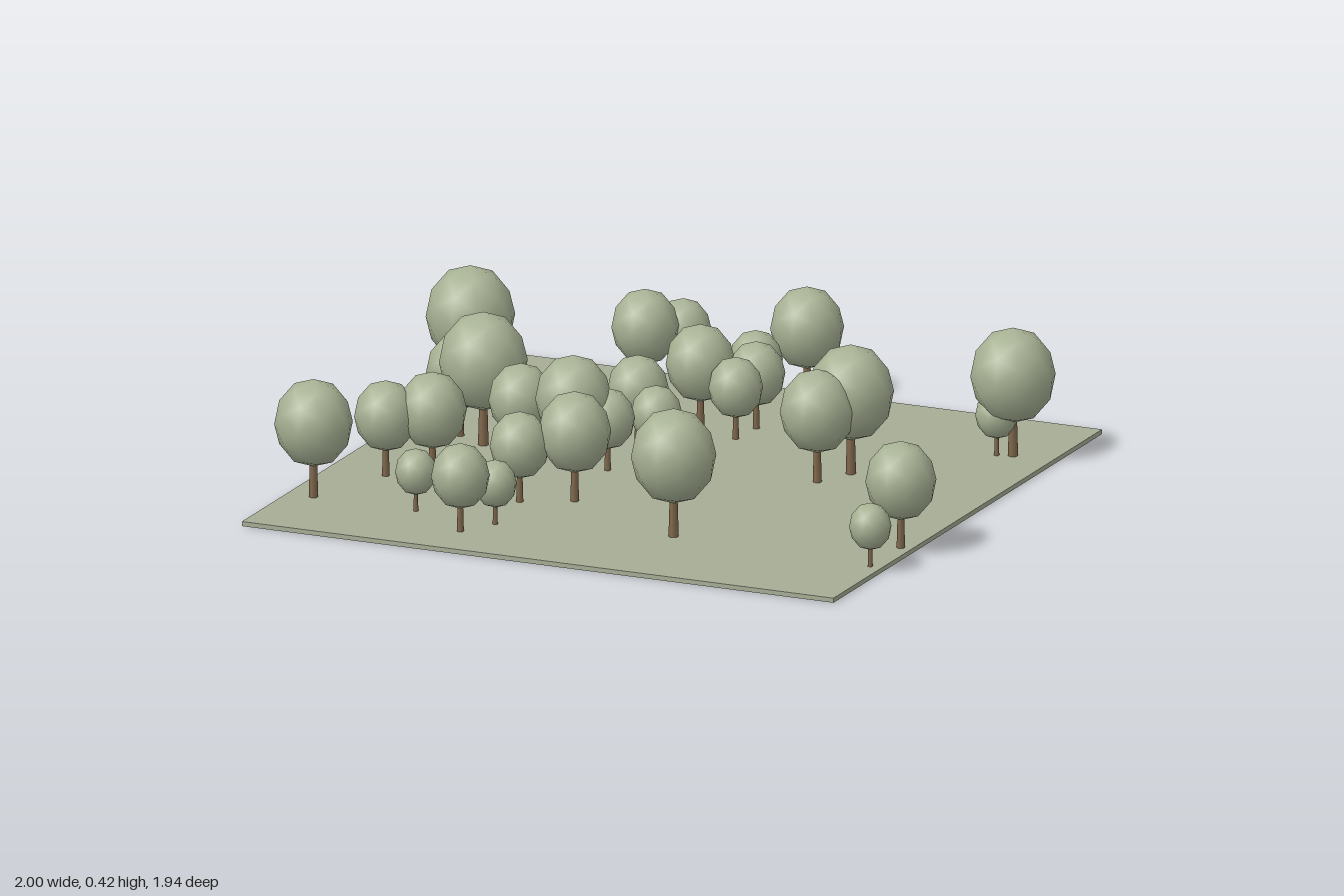
import * as THREE from 'three';

// x, z, crown radius of every tree
const TREES = [
  [-0.38, -0.855, 0.082], [-0.447, -0.735, 0.099], [0.01, -0.865, 0.108],
  [-0.067, -0.675, 0.079], [-0.87, -0.44, 0.131], [0.8, -0.57, 0.125],
  [0.007, -0.515, 0.085], [-0.14, -0.447, 0.102], [-0.003, -0.393, 0.08],
  [-0.227, -0.2, 0.09], [-0.115, -0.083, 0.075], [0.447, -0.21, 0.126],
  [0.393, -0.093, 0.11], [-0.745, -0.093, 0.1], [-0.645, -0.035, 0.13],
  [-0.48, 0.064, 0.095], [-0.302, 0.088, 0.112], [-0.21, 0.05, 0.08],
  [-0.709, 0.185, 0.064], [-0.773, 0.367, 0.093], [-0.652, 0.307, 0.101],
  [-0.31, 0.447, 0.088], [-0.168, 0.374, 0.107], [-0.875, 0.65, 0.115],
  [-0.545, 0.658, 0.061], [-0.28, 0.685, 0.063], [-0.342, 0.793, 0.086],
  [0.243, 0.585, 0.125], [0.89, 0.415, 0.104], [0.888, 0.625, 0.062],
  [0.755, -0.555, 0.063],
];
const GROUND_TOP = 0.014;

function material(name, color) {
  const m = new THREE.MeshStandardMaterial({ color });
  m.name = name;
  return m;
}

export function createModel() {
  const model = new THREE.Group();
  model.name = 'grove';
  const grass = material('grass green', 0xa6ad95);
  const leaves = material('leaf green', 0xa9b395);
  const bark = material('bark brown', 0x80684c);

  // Thin square of ground
  const ground = new THREE.Mesh(new THREE.BoxGeometry(1.885, GROUND_TOP, 1.885), grass);
  ground.name = 'ground';
  ground.position.set(-0.0175, GROUND_TOP / 2, 0.0225);
  model.add(ground);

  // Unit tree parts, scaled by crown radius: faceted egg crown on a tapered trunk
  const crownGeometry = new THREE.IcosahedronGeometry(1, 1);
  crownGeometry.scale(1, 1.15, 1);
  crownGeometry.translate(0, 1.95, 0);
  const trunkGeometry = new THREE.CylinderGeometry(0.08, 0.12, 1.4, 6);
  trunkGeometry.translate(0, 0.7, 0);

  for (const [x, z, r] of TREES) {
    const tree = new THREE.Group();
    tree.name = 'tree';
    const crown = new THREE.Mesh(crownGeometry, leaves);
    crown.name = 'crown';
    const trunk = new THREE.Mesh(trunkGeometry, bark);
    trunk.name = 'trunk';
    tree.add(crown, trunk);
    tree.position.set(x, GROUND_TOP, z);
    tree.scale.setScalar(r);
    model.add(tree);
  }
  return model;
}
